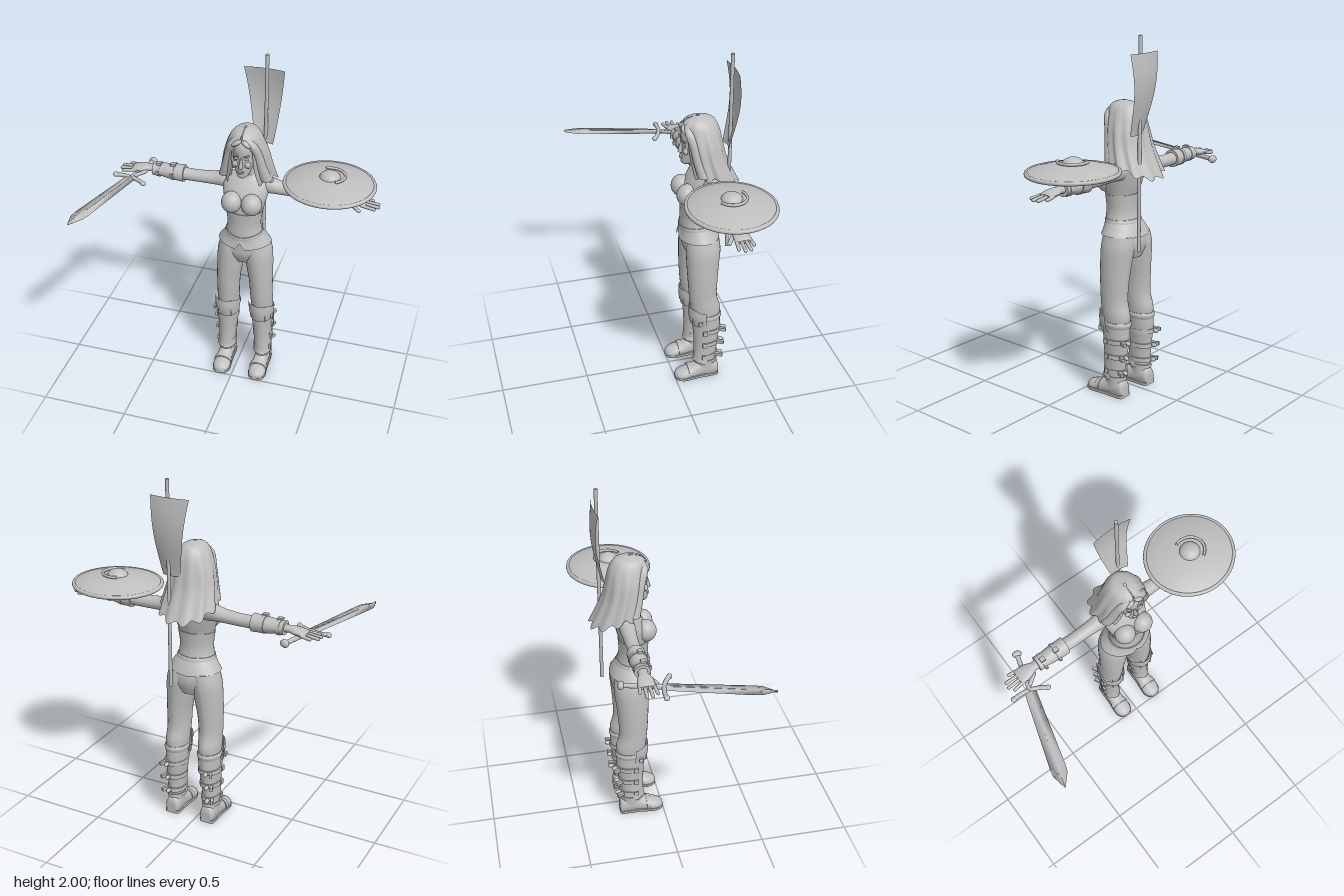
import * as THREE from 'three';

const CX = 0.0375; // centre line of the figure
const grey = new THREE.MeshStandardMaterial({ color: 0xbfbfbf, side: THREE.DoubleSide });
grey.name = 'plain grey';

// Catmull-Rom subdivision of section rows
function refine(rows, sub) {
  const out = [];
  for (let i = 0; i < rows.length - 1; i++) {
    const p = [rows[Math.max(i - 1, 0)], rows[i], rows[i + 1], rows[Math.min(i + 2, rows.length - 1)]];
    for (let k = 0; k < sub; k++) {
      const t = k / sub;
      out.push(p[1].map((v, c) => {
        const m0 = (p[2][c] - p[0][c]) / 2, m1 = (p[3][c] - v) / 2, d = p[2][c] - v;
        return v + m0 * t + (3 * d - 2 * m0 - m1) * t * t + (m0 + m1 - 2 * d) * t * t * t;
      }));
    }
  }
  out.push(rows[rows.length - 1]);
  return out;
}

// Skin over rows [y, centreX, halfWidth, zFront, zBack, openingAngle], bottom to top.
// A non-zero opening (or arc) leaves an open shell.
function loft(rows, { n = 28, sub = 4, arc = Math.PI, shell = false, warp = null } = {}) {
  const r = sub > 1 ? refine(rows, sub) : rows, pos = [], idx = [], w = n + 1;
  r.forEach(([y, cx, rx, zf, zb, gap = 0]) => {
    for (let j = 0; j <= n; j++) {
      const t = -1 + 2 * j / n;
      const a = gap ? Math.PI + t * (Math.PI - gap) : t * arc;
      const p = new THREE.Vector3(cx + rx * Math.sin(a), y, (zf + zb) / 2 + (zf - zb) / 2 * Math.cos(a));
      if (warp) warp(p, a, cx);
      pos.push(p.x, p.y, p.z);
    }
  });
  for (let i = 0; i < r.length - 1; i++) for (let j = 0; j < n; j++) {
    const a = i * w + j, b = a + 1, c = a + w, d = c + 1;
    idx.push(a, b, c, b, d, c);
  }
  if (!shell) [0, r.length - 1].forEach((i) => {
    const base = pos.length / 3;
    for (let j = 0; j < w; j++) pos.push(...pos.slice((i * w + j) * 3, (i * w + j) * 3 + 3));
    for (let j = 1; j < n - 1; j++) idx.push(base, base + (i ? j : j + 1), base + (i ? j + 1 : j));
  });
  const g = new THREE.BufferGeometry();
  g.setAttribute('position', new THREE.Float32BufferAttribute(pos, 3));
  g.setIndex(idx);
  g.computeVertexNormals();
  return g;
}

function add(parent, name, geo, x = 0, y = 0, z = 0) {
  const m = new THREE.Mesh(geo, grey);
  m.name = name;
  m.position.set(x, y, z);
  parent.add(m);
  return m;
}
const ball = (rx, ry, rz) => new THREE.SphereGeometry(1, 24, 16).scale(rx, ry, rz);
const box = (x, y, z) => new THREE.BoxGeometry(x, y, z);

function buildTorso(g) {
  add(g, 'hips', loft([[0.79, CX, 0.09, -0.1, -0.25], [0.85, CX, 0.148, -0.073, -0.27],
    [0.91, CX, 0.14, -0.068, -0.268], [0.97, CX, 0.115, -0.065, -0.24]]));
  add(g, 'torso', loft([[0.95, CX, 0.112, -0.065, -0.24], [1.0, CX, 0.1, -0.06, -0.225], [1.06, CX, 0.092, -0.063, -0.217],
    [1.12, CX, 0.099, -0.06, -0.217], [1.2, CX, 0.12, -0.066, -0.237], [1.27, CX, 0.132, -0.1, -0.25],
    [1.315, CX, 0.118, -0.13, -0.25], [1.345, CX, 0.06, -0.145, -0.235], [1.365, CX, 0.042, -0.125, -0.215],
    [1.42, CX, 0.04, -0.11, -0.2]]));
  add(g, 'corset', loft([[0.97, CX, 0.115, -0.058, -0.245], [1.0, CX, 0.103, -0.056, -0.231],
    [1.06, CX, 0.096, -0.059, -0.222], [1.14, CX, 0.107, -0.055, -0.226]]));
  for (const s of [-1, 1]) add(g, 'bust', ball(0.058, 0.062, 0.058), CX + s * 0.057, 1.203, -0.079);
  // flared hem with a notch at the front
  add(g, 'peplum', loft([[0.91, CX, 0.152, -0.045, -0.278], [0.95, CX, 0.129, -0.053, -0.26], [0.99, CX, 0.107, -0.056, -0.238]], {
    n: 64, shell: true,
    warp: (p, a) => {
      const low = (0.99 - p.y) / 0.08;
      p.y += low * (0.045 * Math.max(0, 1 - Math.abs(a) / 0.17) + 0.012 * Math.abs(Math.sin(a)));
    },
  }));
  add(g, 'belt', loft([[0.98, CX, 0.112, -0.052, -0.243], [0.992, CX, 0.11, -0.051, -0.241], [1.003, CX, 0.106, -0.052, -0.235]],
    { warp: (p, a) => { p.y -= 0.014 * Math.max(0, Math.cos(a)) ** 4; } }));
}

function buildHead(g) {
  add(g, 'head', loft([[1.372, CX, 0.02, -0.068, -0.11], [1.385, CX, 0.034, -0.059, -0.15], [1.42, CX, 0.05, -0.06, -0.2],
    [1.46, CX, 0.061, -0.062, -0.225], [1.5, CX, 0.066, -0.062, -0.24], [1.55, CX, 0.067, -0.06, -0.245],
    [1.59, CX, 0.055, -0.08, -0.235], [1.615, CX, 0.03, -0.11, -0.2]]));
  add(g, 'nose', loft([[1.44, CX, 0.012, -0.046, -0.08], [1.45, CX, 0.011, -0.042, -0.08], [1.5, CX, 0.006, -0.056, -0.08]], { n: 12 }));
  add(g, 'upperLip', ball(0.019, 0.005, 0.008), CX, 1.418, -0.059);
  add(g, 'lowerLip', ball(0.016, 0.006, 0.008), CX, 1.409, -0.059);
  for (const s of [-1, 1]) {
    add(g, 'eye', ball(0.014, 0.007, 0.006), CX + s * 0.027, 1.491, -0.07);
    add(g, 'eyebrow', box(0.032, 0.006, 0.012), CX + s * 0.028, 1.511, -0.068).rotation.set(0, s * 0.3, s * 0.15);
    add(g, 'cheek', ball(0.02, 0.018, 0.012), CX + s * 0.034, 1.455, -0.075);
  }
  // long veil of hair with hanging folds, open over the face
  add(g, 'hair', loft([[1.32, CX, 0.156, -0.1, -0.345, 0.56], [1.42, CX, 0.137, -0.085, -0.3, 0.47], [1.5, CX, 0.121, -0.073, -0.282, 0.5],
    [1.565, CX, 0.098, -0.065, -0.268, 0.5], [1.605, CX, 0.078, -0.068, -0.25, 0.12], [1.63, CX, 0.052, -0.09, -0.225, 0.05],
    [1.645, CX, 0.006, -0.14, -0.16, 0.05]], {
    n: 96, shell: true,
    warp: (p, a, cx) => {
      const drop = Math.min(1, Math.max(0, (1.64 - p.y) / 0.3));
      const back = Math.max(0, -Math.cos(a));
      const f = 1 + (0.015 + 0.05 * drop) * Math.cos(a * 11);
      p.x = cx + (p.x - cx) * f;
      p.z = -0.19 + (p.z + 0.19) * f;
      p.y -= 0.07 * drop ** 3 * back + 0.01 * drop * Math.cos(a * 11);
      p.z -= 0.03 * drop ** 4 * back;
    },
  }));
  for (const s of [-1, 1]) {
    add(g, 'frontLock', loft([[1.335, CX + s * 0.115, 0.036, -0.12, -0.19], [1.42, CX + s * 0.095, 0.031, -0.1, -0.17],
      [1.5, CX + s * 0.08, 0.026, -0.085, -0.15], [1.57, CX + s * 0.055, 0.026, -0.065, -0.12], [1.61, CX + s * 0.02, 0.02, -0.075, -0.11]], { n: 14 }));
    add(g, 'fringe', ball(0.032, 0.014, 0.02), CX + s * 0.028, 1.583, -0.073).rotation.z = -s * 0.6;
  }
}

function buildArm(g, s) {
  const arm = new THREE.Group();
  arm.name = s > 0 ? 'leftArm' : 'rightArm';
  arm.position.x = CX;
  g.add(arm);
  // rows run outward [distance, halfHeight, halfDepth, height]
  const limb = (name, rows, opt) => {
    const geo = loft(rows.map(([u, h, d, y]) => [u, -s * y, h, -0.195 + d, -0.195 - d]), opt);
    return add(arm, name, geo.rotateZ(-s * Math.PI / 2));
  };
  limb('upperArm', [[0.08, 0.05, 0.042, 1.277], [0.14, 0.046, 0.044, 1.277], [0.2, 0.038, 0.039, 1.27], [0.3, 0.034, 0.036, 1.265], [0.39, 0.036, 0.038, 1.267]]);
  limb('bracer', [[0.365, 0.05, 0.047, 1.267], [0.38, 0.049, 0.048, 1.267], [0.45, 0.044, 0.046, 1.268], [0.5, 0.037, 0.041, 1.27], [0.548, 0.038, 0.043, 1.27]]);
  for (const [u, r] of [[0.43, 0.049], [0.515, 0.042]]) {
    limb('bracerStrap', [[u - 0.009, r, r + 0.002, 1.269], [u + 0.009, r, r + 0.002, 1.269]], { sub: 1 });
    add(arm, 'bracerBuckle', box(0.028, 0.014, 0.026), s * u, 1.269 + r, -0.185);
    add(arm, 'strapEnd', box(0.014, 0.022, 0.012), s * u, 1.269, -0.195 + r + 0.005);
  }
  limb('wrist', [[0.53, 0.024, 0.028, 1.27], [0.57, 0.019, 0.026, 1.27], [0.61, 0.02, 0.041, 1.267], [0.65, 0.016, 0.044, 1.262], [0.672, 0.01, 0.038, 1.258]]);
  [0.7, 0.735, 0.738, 0.72].forEach((tip, i) => {
    const root = 0.65, z = -0.195 + (1.5 - i) * -0.022;
    const f = add(arm, 'finger', new THREE.CapsuleGeometry(0.0095, tip - root, 4, 10), s * (root + tip) / 2, 1.255, z - (1.5 - i) * 0.004);
    f.rotation.set(0, s * (1.5 - i) * 0.08, -s * (Math.PI / 2 + 0.1));
  });
  const thumb = add(arm, 'thumb', new THREE.CapsuleGeometry(0.011, 0.065, 4, 10), s * 0.615, 1.25, -0.147);
  thumb.rotation.set(0, -s * 0.6, -s * (Math.PI / 2 + 0.25));
}

function buildLeg(g, s) {
  const leg = new THREE.Group();
  leg.name = s > 0 ? 'leftLeg' : 'rightLeg';
  g.add(leg);
  const X = (o) => CX + s * o;
  add(leg, 'trouserLeg', loft([[0.4, X(0.103), 0.058, -0.11, -0.262], [0.47, X(0.103), 0.064, -0.097, -0.268], [0.55, X(0.1), 0.065, -0.087, -0.248],
    [0.65, X(0.097), 0.069, -0.08, -0.25], [0.75, X(0.088), 0.077, -0.075, -0.258], [0.85, X(0.078), 0.081, -0.073, -0.268], [0.92, X(0.07), 0.07, -0.08, -0.262]]));
  add(leg, 'boot', loft([[0.06, X(0.112), 0.045, -0.13, -0.248], [0.12, X(0.112), 0.046, -0.128, -0.246], [0.22, X(0.11), 0.049, -0.124, -0.254],
    [0.34, X(0.106), 0.059, -0.12, -0.268], [0.42, X(0.104), 0.062, -0.115, -0.268]]));
  add(leg, 'bootCuff', loft([[0.405, X(0.104), 0.064, -0.11, -0.27], [0.425, X(0.104), 0.069, -0.108, -0.276], [0.44, X(0.104), 0.064, -0.11, -0.27]]));
  // plates wrapped around the front
  add(leg, 'shinGuard', loft([[0.115, X(0.112), 0.056, -0.108, -0.256], [0.14, X(0.112), 0.051, -0.114, -0.25], [0.24, X(0.109), 0.054, -0.115, -0.26],
    [0.39, X(0.105), 0.067, -0.104, -0.268]], { shell: true, arc: 1.6 }));
  add(leg, 'kneeGuard', loft([[0.378, X(0.104), 0.068, -0.094, -0.255], [0.44, X(0.104), 0.075, -0.082, -0.255], [0.495, X(0.103), 0.076, -0.084, -0.25]],
    { shell: true, arc: 1.55, warp: (p, a) => { if (p.y > 0.44) p.y -= 0.02 * Math.abs(Math.sin(a)) ** 6; } }));
  for (const e of [-1, 1]) add(leg, 'kneeRidge', box(0.006, 0.11, 0.008), X(0.104) + e * 0.036, 0.437, -0.1);
  add(leg, 'kneeRivet', box(0.012, 0.024, 0.024), X(0.176), 0.405, -0.135);
  for (const [y, r, zb] of [[0.33, 0.064, -0.274], [0.24, 0.058, -0.264], [0.15, 0.053, -0.257]]) {
    add(leg, 'calfStrap', loft([[y - 0.013, X(0.109), r, -0.118, zb], [y + 0.013, X(0.109), r, -0.118, zb]], { sub: 1 }));
    add(leg, 'strapBuckle', box(0.012, 0.028, 0.026), X(0.109 + r), y, -0.165);
    add(leg, 'strapTail', box(0.016, 0.02, 0.05), X(0.15), y, zb + 0.005).rotation.y = -s * 0.45;
    add(leg, 'strapKnob', ball(0.012, 0.013, 0.018), X(0.125), y, zb - 0.008);
  }
  // foot: rows [z, halfWidth, height] from heel to toe
  const foot = [[-0.258, 0.03, 0.07], [-0.245, 0.041, 0.1], [-0.19, 0.043, 0.115], [-0.14, 0.044, 0.1], [-0.09, 0.049, 0.072], [-0.045, 0.051, 0.058], [-0.012, 0.036, 0.045], [0, 0.015, 0.03]];
  add(leg, 'foot', loft(foot.map(([z, w, h]) => [z, X(0.112), w, 0.012, -h]), { warp: (p) => { p.z = Math.min(p.z, -0.008); } }).rotateX(Math.PI / 2));
  add(leg, 'sole', loft(foot.map(([z, w]) => [z, X(0.112), w + 0.003, 0, -0.018]), { warp: (p) => { p.z = p.z > -0.009 ? 0 : -0.016; } }).rotateX(Math.PI / 2));
  add(leg, 'heel', box(0.076, 0.024, 0.07), X(0.112), 0.012, -0.215);
  add(leg, 'footStrap', loft([[-0.1, X(0.112), 0.052, 0, -0.08], [-0.075, X(0.112), 0.054, 0, -0.072]], { sub: 1 }).rotateX(Math.PI / 2));
  add(leg, 'ankleStrap', loft([[0.1, X(0.112), 0.052, -0.115, -0.254], [0.12, X(0.112), 0.052, -0.115, -0.254]], { sub: 1 }));
}

function buildSword(g) {
  const sword = new THREE.Group();
  sword.name = 'sword';
  sword.position.set(-0.56, 1.24, -0.315);
  sword.rotation.y = -0.275;
  g.add(sword);
  // blade with a lens section, tapering to a point
  const rows = [[0.21, 0.031], [0.4, 0.036], [0.66, 0.042], [0.7, 0.039], [0.775, 0.001]].map(([z, w]) => [z, 0, w, 0.007, -0.007]);
  add(sword, 'blade', loft(rows, { n: 4, sub: 1 }).rotateX(Math.PI / 2));
  add(sword, 'fuller', box(0.008, 0.016, 0.38), 0, 0, 0.43);
  add(sword, 'grip', new THREE.CylinderGeometry(0.013, 0.013, 0.22, 14).rotateX(Math.PI / 2), 0, 0, 0.11);
  add(sword, 'pommel', ball(0.026, 0.022, 0.018), 0, 0, 0.0);
  const curve = new THREE.QuadraticBezierCurve3(new THREE.Vector3(-0.095, 0, 0.235), new THREE.Vector3(0, 0, 0.195), new THREE.Vector3(0.095, 0, 0.235));
  add(sword, 'crossguard', new THREE.TubeGeometry(curve, 20, 0.012, 10));
  for (const s of [-1, 1]) add(sword, 'guardEnd', ball(0.016, 0.014, 0.015), s * 0.095, 0, 0.235);
}

function buildShield(g) {
  const shield = new THREE.Group();
  shield.name = 'shield';
  shield.position.set(0.5, 0, -0.195);
  shield.scale.z = 0.94;
  g.add(shield);
  const lathe = (pts) => new THREE.LatheGeometry(pts.map(([r, y]) => new THREE.Vector2(r, y)), 56);
  add(shield, 'shieldDish', lathe([[0, 1.345], [0.23, 1.328], [0.245, 1.338], [0.238, 1.35], [0.16, 1.371], [0.08, 1.387], [0, 1.39]]));
  add(shield, 'shieldRim', new THREE.TorusGeometry(0.244, 0.0115, 10, 64).rotateX(Math.PI / 2), 0, 1.341, 0);
  add(shield, 'shieldBoss', ball(0.058, 0.038, 0.06), 0, 1.383, 0);
  add(shield, 'shieldCrescent', new THREE.TorusGeometry(0.082, 0.008, 8, 32, 3.1).rotateX(-Math.PI / 2).rotateY(-1.05), 0, 1.398, 0);
  for (const x of [-0.06, 0.04]) add(shield, 'armLoop', box(0.03, 0.03, 0.1), x, 1.322, 0);
}

function buildBanner(g) {
  add(g, 'bannerPole', new THREE.CylinderGeometry(0.01, 0.01, 1.15, 16), 0.108, 1.425, -0.31);
  const geo = new THREE.PlaneGeometry(1, 1, 12, 20), p = geo.attributes.position;
  // cloth narrowing and billowing backward
  for (let i = 0; i < p.count; i++) {
    const u = p.getX(i) * 2, v = p.getY(i) + 0.5;
    const w = 0.05 + 0.062 * v ** 0.9;
    p.setXYZ(i, 0.105 - 0.015 * v + u * w, 1.48 + 0.43 * v, -0.298 - 0.035 * v - 0.045 * Math.sin(Math.PI * v ** 1.2) * 0.6 + 0.012 * u * u);
  }
  geo.computeVertexNormals();
  add(g, 'banner', geo);
}

export function createModel() {
  const g = new THREE.Group();
  g.name = 'warrior';
  buildTorso(g);
  buildHead(g);
  for (const s of [-1, 1]) { buildArm(g, s); buildLeg(g, s); }
  buildSword(g);
  buildShield(g);
  buildBanner(g);
  return g;
}
